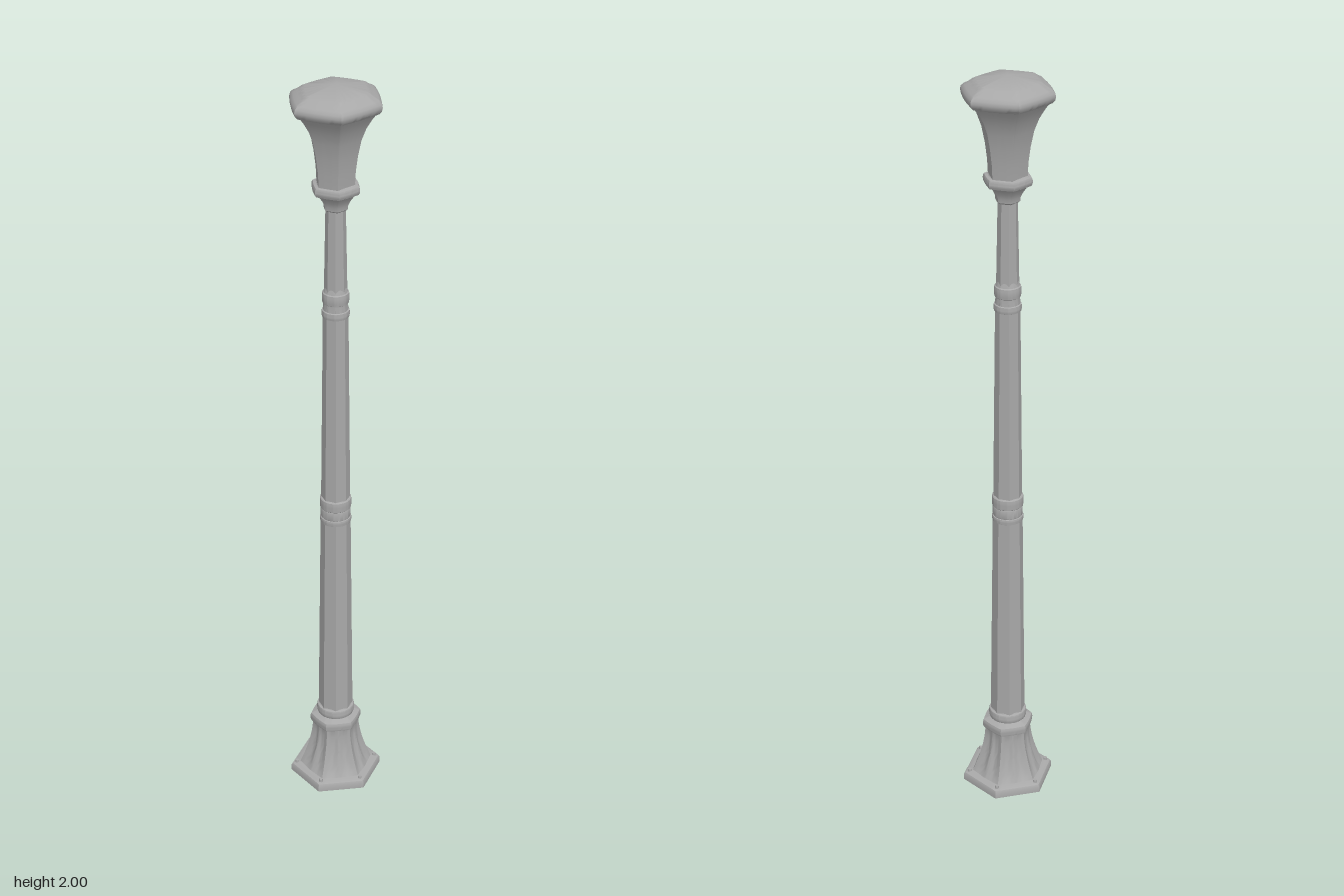
import * as THREE from 'three';
import { toCreasedNormals } from 'three/addons/utils/BufferGeometryUtils.js';

const SEG = 96;

// Outline factor of an n-sided polygon (apothem 1); k blends from circle (0) to sharp corners (1).
function polygon(n, corner, k = 1) {
  const step = (Math.PI * 2) / n;
  return (t) => {
    const d = (((t - corner) % step) + step) % step - step / 2;
    return 1 + k * (1 / Math.cos(d) - 1);
  };
}

// Stacks [radius, height] rows, each shaped by outline(angle, height).
function loft(rows, outline, scaleX = 1, crease = 0.5) {
  const pos = [];
  const point = (i, j) => {
    const [r, y] = rows[i];
    const t = ((j % SEG) / SEG) * Math.PI * 2;
    const q = r * outline(t, y);
    return [q * Math.cos(t) * scaleX, y, q * Math.sin(t)];
  };
  for (let i = 0; i < rows.length - 1; i++) {
    for (let j = 0; j < SEG; j++) {
      const a = point(i, j), b = point(i, j + 1), c = point(i + 1, j), d = point(i + 1, j + 1);
      if (rows[i][0] > 0) pos.push(...a, ...c, ...b);
      if (rows[i + 1][0] > 0) pos.push(...b, ...c, ...d);
    }
  }
  const g = new THREE.BufferGeometry();
  g.setAttribute('position', new THREE.Float32BufferAttribute(pos, 3));
  return toCreasedNormals(g, crease);
}

// Rows of a rounded moulding between two heights.
function bead(inner, outer, y0, y1, n = 6) {
  const rows = [];
  for (let i = 0; i <= n; i++) {
    const a = (i / n) * Math.PI;
    rows.push([inner + (outer - inner) * Math.sqrt(Math.sin(a) + 1e-6), y0 + ((y1 - y0) * (1 - Math.cos(a))) / 2]);
  }
  return rows;
}

export function createModel() {
  const group = new THREE.Group();
  const metal = new THREE.MeshStandardMaterial({ color: 0xa8a8a8 });
  metal.name = 'grey metal';
  const add = (name, geometry) => {
    const m = new THREE.Mesh(geometry, metal);
    m.name = name;
    group.add(m);
    return m;
  };

  const round = () => 1;
  const hexZ = polygon(6, Math.PI / 6);
  const softHexZ = polygon(6, Math.PI / 6, 0.7);
  const softHexX = polygon(6, 0, 0.75);
  const octagon = polygon(8, Math.PI / 8);

  // Hexagonal plinth, corners to front and back
  add('plinth', loft([[0, 0], [0.108, 0], [0.108, 0.016], [0.105, 0.022], [0.094, 0.027], [0, 0.027]], hexZ));

  // Flared base with twelve flutes that fade out at both ends
  const fluted = (t, y) => {
    const fade = Math.sin(Math.PI * Math.min(1, Math.max(0, (y - 0.025) / 0.14)));
    return softHexZ(t) * (1 - 0.1 * Math.sqrt(fade) * Math.pow(Math.abs(Math.sin(t * 6)), 1.5));
  };
  const flare = [];
  for (let i = 0; i <= 12; i++) {
    const u = i / 12;
    flare.push([0.057 + 0.033 * Math.pow(1 - u, 1.7), 0.025 + 0.14 * u]);
  }
  add('flutedBase', loft(flare, fluted, 1, 0.7));

  // Bolts around the plinth, one per flute pair
  for (let i = 0; i < 6; i++) {
    const t = (i / 6) * Math.PI * 2 + Math.PI / 6;
    const bolt = add('plinthBolt', new THREE.CylinderGeometry(0.005, 0.006, 0.008, 8));
    bolt.position.set(0.108 * Math.cos(t), 0.028, 0.108 * Math.sin(t));
  }

  // Mouldings above the base
  add('baseMoulding', loft([[0.05, 0.163], ...bead(0.056, 0.063, 0.165, 0.192), [0.04, 0.2]], softHexZ));
  add('baseRing', loft([[0.04, 0.19], ...bead(0.044, 0.051, 0.197, 0.224), [0.04, 0.23]], round));

  // Tapering eight-sided shaft
  add('lowerShaft', loft([[0.043, 0.2], [0.036, 0.83]], octagon));
  add('middleShaft', loft([[0.035, 0.86], [0.029, 1.43]], octagon));
  add('upperShaft', loft([[0.027, 1.45], [0.0225, 1.7]], octagon));

  // Collars between shaft sections
  add('lowerCollar', loft([
    [0.034, 0.81], ...bead(0.038, 0.041, 0.812, 0.828), [0.039, 0.83], [0.039, 0.852],
    ...bead(0.038, 0.041, 0.854, 0.884), [0.03, 0.886]], round));
  add('upperCollar', loft([
    [0.027, 1.4], ...bead(0.031, 0.035, 1.402, 1.422), [0.031, 1.43], [0.03, 1.438],
    ...bead(0.03, 0.034, 1.44, 1.47), [0.024, 1.49]], round));

  // Neck and ring under the head
  add('neck', loft([
    [0.022, 1.685], [0.028, 1.69], [0.029, 1.7], [0.034, 1.712], [0.042, 1.725],
    ...bead(0.046, 0.056, 1.73, 1.754), [0.04, 1.76]], softHexX));

  // Six-sided flaring lantern head
  add('lanternHead', loft([
    [0.046, 1.75], [0.048, 1.79], [0.053, 1.83], [0.061, 1.87], [0.072, 1.9], [0.086, 1.925], [0.098, 1.942]],
    polygon(6, 0, 0.9), 0.94));

  // Rounded lid with a raised rim and shallow pointed top
  add('lanternLid', loft([
    [0, 1.936], [0.094, 1.936], [0.105, 1.94], [0.111, 1.947], [0.113, 1.956], [0.111, 1.964], [0.104, 1.971],
    [0.094, 1.976], [0.087, 1.981], [0.082, 1.985], [0.076, 1.987], [0, 2]], softHexX, 0.93, 0.6));

  return group;
}
